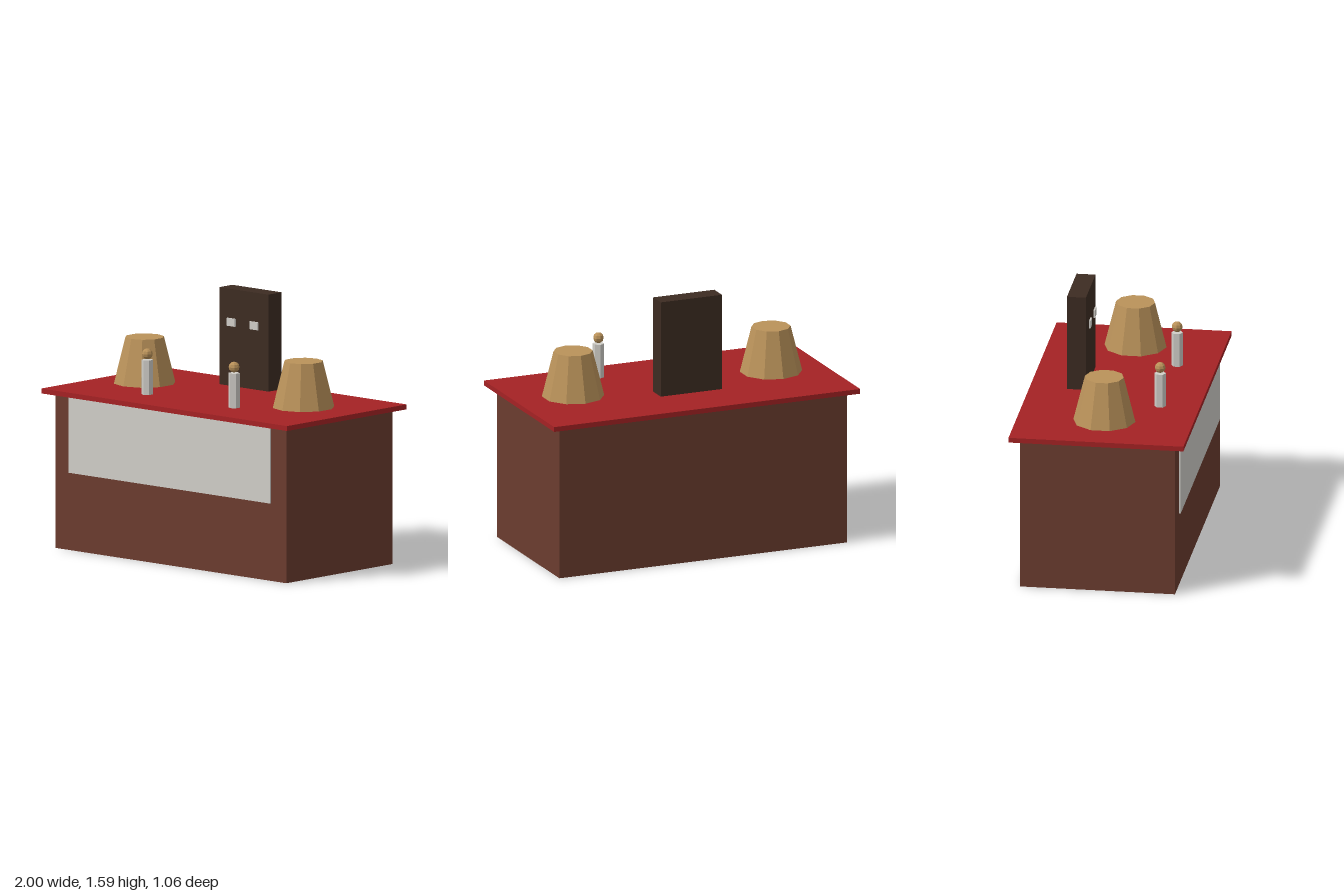
import * as THREE from 'three';

const material = (name, color) => {
  const m = new THREE.MeshStandardMaterial({ color, flatShading: true });
  m.name = name;
  return m;
};

export function createModel() {
  const model = new THREE.Group();
  model.name = 'altar';

  const wood = material('brown wood', 0x6b3c2f);
  const red = material('red cover', 0xa52224);
  const linen = material('pale linen', 0xd0cec8);
  const brass = material('dull brass', 0xba925a);
  const dark = material('dark wood', 0x3d2c22);

  const add = (name, geometry, mat, x, y, z) => {
    const mesh = new THREE.Mesh(geometry, mat);
    mesh.name = name;
    mesh.position.set(x, y, z);
    model.add(mesh);
  };
  const box = (name, w, h, d, mat, x, y, z) =>
    add(name, new THREE.BoxGeometry(w, h, d), mat, x, y, z);

  // Table body, overhanging top and hanging front cloth
  box('tableBody', 1.88, 0.94, 0.94, wood, 0, 0.47, 0);
  box('tableTop', 2, 0.03, 1.06, red, 0, 0.955, 0);
  box('frontCloth', 1.64, 0.467, 0.01, linen, 0, 0.7065, 0.482);

  // Upright panel at the back
  box('backPanel', 0.4, 0.59, 0.115, dark, 0, 1.295, -0.235);

  // Paired details on both sides
  for (const [side, s] of [['left', 1], ['right', -1]]) {
    box(`${side}PanelInset`, 0.066, 0.048, 0.0095, linen, s * 0.093, 1.39, -0.165);
    add(`${side}Bowl`, new THREE.CylinderGeometry(0.118, 0.188, 0.28, 10), brass, s * 0.647, 1.12, 0);
    add(`${side}Candle`, new THREE.CylinderGeometry(0.035, 0.035, 0.21, 6), linen, s * 0.353, 1.085, 0.295);
    add(`${side}Flame`, new THREE.SphereGeometry(0.033, 8, 6), brass, s * 0.353, 1.226, 0.295);
  }

  return model;
}
